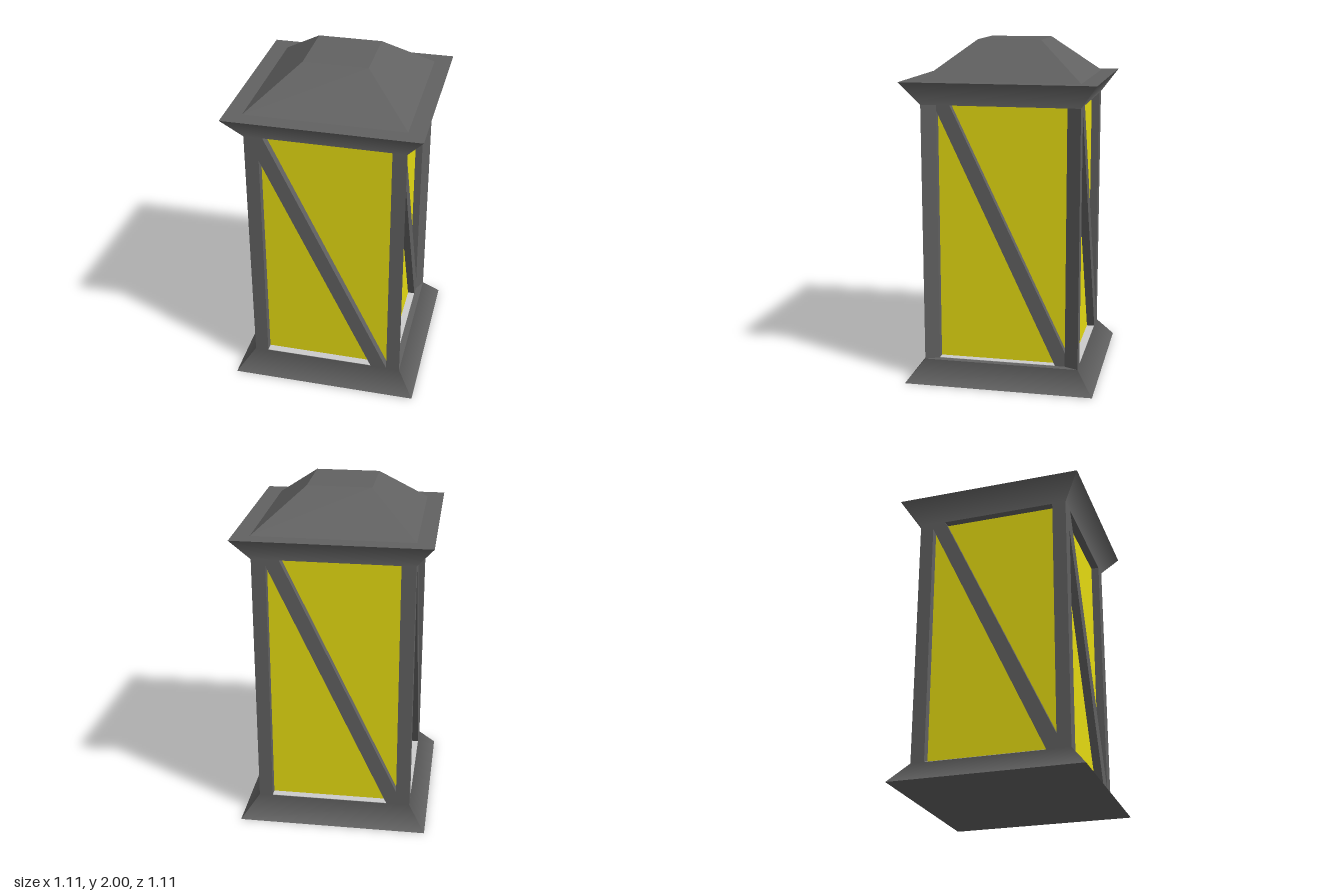
import * as THREE from 'three';

const FRAME = 0.458, FLARE = 0.557, OPENING = 0.377, GLASS = 0.41;
const INSET = 0.421, INSET_GLASS = 0.378; // the left opening sits deeper than the others
const SILL_Y = 0.125, HEAD_Y = 1.645, BRIM_Y = 1.78, TOP_Y = 2;

export function createModel() {
  const lantern = new THREE.Group();
  lantern.name = 'lantern';
  const metal = new THREE.MeshStandardMaterial({ color: 0x616161 });
  const pale = new THREE.MeshStandardMaterial({ color: 0xcccccc });
  const yellow = new THREE.MeshStandardMaterial({ color: 0xe6dc12 });

  function add(name, geometry, material) {
    const mesh = new THREE.Mesh(geometry, material);
    mesh.name = name;
    lantern.add(mesh);
    return mesh;
  }

  // Square frustum given by its half widths and its bottom and top heights.
  // Normals at the blendY edge are levelled so the flare shades softly into the posts.
  function frustum(name, bottomHalf, topHalf, y0, y1, blendY) {
    const indexed = new THREE.CylinderGeometry(topHalf * Math.SQRT2, bottomHalf * Math.SQRT2, y1 - y0, 4);
    const g = indexed.toNonIndexed();
    g.rotateY(Math.PI / 4).translate(0, (y0 + y1) / 2, 0);
    g.computeVertexNormals();
    const { position, normal } = g.attributes;
    const n = new THREE.Vector3();
    for (let i = 0; i < position.count; i++) {
      n.fromBufferAttribute(normal, i);
      if (Math.abs(position.getY(i) - blendY) < 1e-4 && Math.abs(n.y) < 0.99) {
        n.setY(0).normalize();
        normal.setXYZ(i, n.x, n.y, n.z);
      }
    }
    add(name, g, metal);
  }

  // Flared base, flared brim and hipped roof
  frustum('base', FLARE, FRAME, 0, SILL_Y, SILL_Y);
  frustum('brim', FRAME, FLARE, HEAD_Y, BRIM_Y, HEAD_Y);
  frustum('roof', FRAME, 0.185, BRIM_Y, TOP_Y);

  // Pale sill under the panes
  const sill = new THREE.BoxGeometry(INSET + FRAME - 0.002, 0.004, FRAME * 1.99);
  add('sill', sill, pale).position.set((INSET - FRAME) / 2, SILL_Y, 0);

  // Recessed glass body
  const height = HEAD_Y - SILL_Y, middle = (HEAD_Y + SILL_Y) / 2;
  const glass = new THREE.BoxGeometry(INSET_GLASS + GLASS, height, GLASS * 2);
  add('glass', glass, yellow).position.set((INSET_GLASS - GLASS) / 2, middle, 0);

  // Corner posts; those on the left side slant in towards the deeper opening
  for (const sx of [-1, 1]) {
    const innerFace = sx > 0 ? INSET : FRAME;
    const section = [[OPENING, FRAME], [FRAME, FRAME], [innerFace, OPENING], [OPENING, OPENING]];
    for (const sz of [-1, 1]) {
      const shape = new THREE.Shape(section.map(([x, z]) => new THREE.Vector2(sx * x, sz * z)));
      const g = new THREE.ExtrudeGeometry(shape, { depth: height, bevelEnabled: false });
      g.rotateX(-Math.PI / 2).translate(0, SILL_Y, 0);
      add('cornerPost', g, metal);
    }
  }

  // Diagonal braces, trimmed to the opening; the front one sits slightly lower
  const frontOutline = [[-0.377, HEAD_Y], [-0.377, 1.5], [0.28, SILL_Y], [0.377, SILL_Y], [-0.35, HEAD_Y]];
  const sideOutline = [[-0.377, HEAD_Y], [-0.377, 1.61], [0.32, SILL_Y], [0.377, SILL_Y], [0.377, 0.21], [-0.3, HEAD_Y]];
  ['front', 'left', 'back', 'right'].forEach((side, i) => {
    const outline = side === 'front' ? frontOutline : sideOutline;
    const inner = side === 'left' ? INSET_GLASS : GLASS;
    const outer = side === 'left' ? INSET : FRAME;
    const shape = new THREE.Shape(outline.map(([x, y]) => new THREE.Vector2(x, y)));
    const g = new THREE.ExtrudeGeometry(shape, { depth: outer - inner, bevelEnabled: false });
    g.translate(0, 0, inner).rotateY(i * Math.PI / 2);
    add(side + 'Brace', g, metal);
  });

  return lantern;
}
